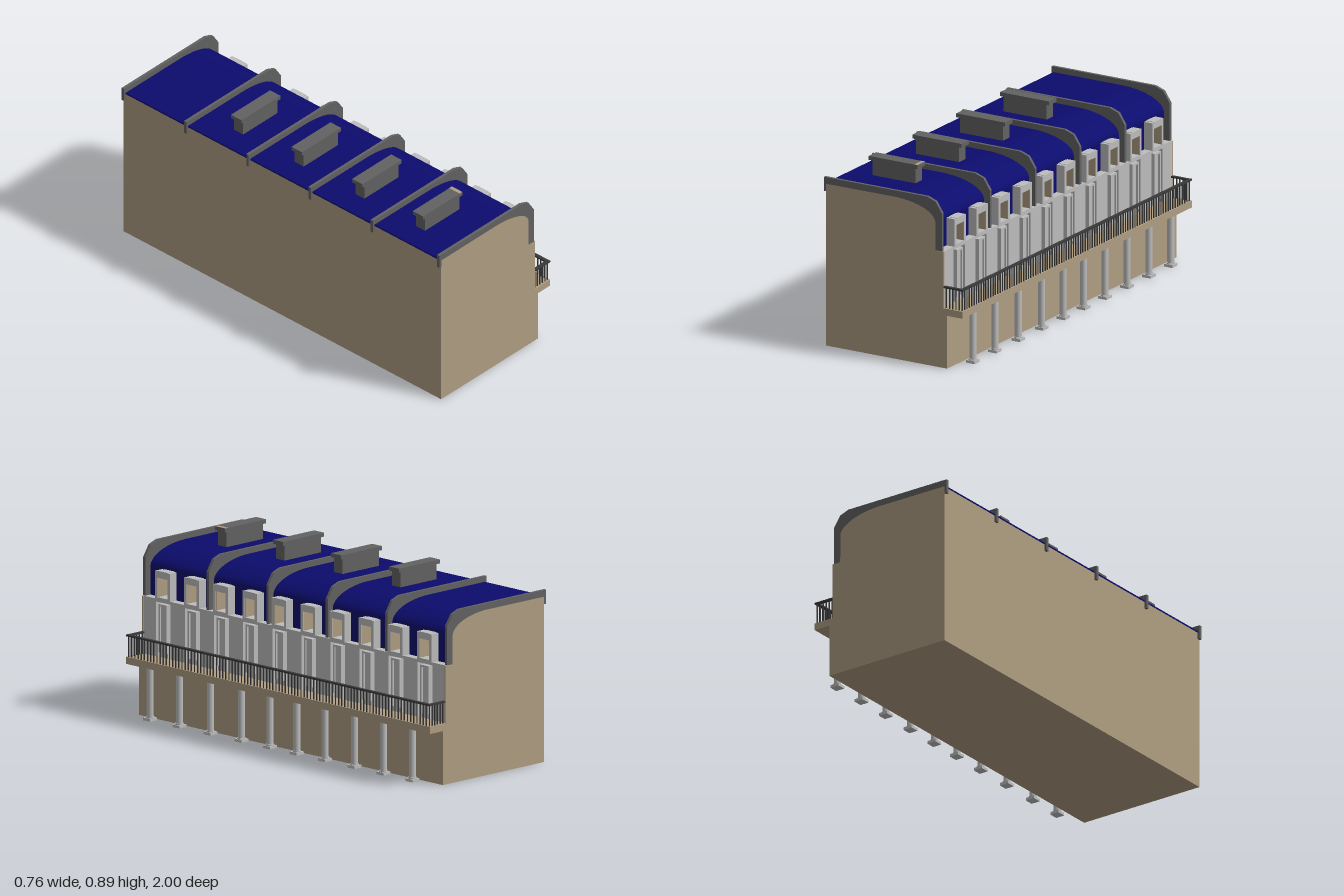
import * as THREE from 'three';

const mat = (name, color, side = THREE.FrontSide) => {
  const m = new THREE.MeshStandardMaterial({ color, side });
  m.name = name;
  return m;
};

export function createModel() {
  const root = new THREE.Group();
  root.name = 'terraceRow';
  const tan = mat('tanStone', 0xb09e82);
  const pale = mat('paleGrey', 0xbdbdbd);
  const slate = mat('darkGrey', 0x626262);
  const blue = mat('roofBlue', 0x0c0c6e);
  const iron = mat('ironGrey', 0x3a3a3a);
  const green = mat('shutterGreen', 0x5a7430);
  const black = mat('glassBlack', 0x101010);

  const group = (name, parent = root) => {
    const g = new THREE.Group();
    g.name = name;
    parent.add(g);
    return g;
  };
  // Box given by its limits on each axis
  const box = (name, m, x0, x1, y0, y1, z0, z1, parent = root) => {
    const mesh = new THREE.Mesh(new THREE.BoxGeometry(x1 - x0, y1 - y0, z1 - z0), m);
    mesh.position.set((x0 + x1) / 2, (y0 + y1) / 2, (z0 + z1) / 2);
    mesh.name = name;
    parent.add(mesh);
    return mesh;
  };
  // Cross-section in x, y stretched from z0 to z1
  const slab = (name, m, pts, z0, z1) => {
    const shape = new THREE.Shape(pts.map(([x, y]) => new THREE.Vector2(x, y)));
    const geo = new THREE.ExtrudeGeometry(shape, { depth: z1 - z0, bevelEnabled: false });
    geo.translate(0, 0, z0);
    const mesh = new THREE.Mesh(geo, m);
    mesh.name = name;
    root.add(mesh);
  };
  // Quarter-ellipse eave, from the front edge up to the flat roof
  const eave = (d = 0) => Array.from({ length: 21 }, (_, i) => {
    const a = (i / 20) * Math.PI / 2;
    return [(0.23 + d) * Math.cos(a), 0.70 + (0.09 + d) * Math.sin(a)];
  });

  const bays = Array.from({ length: 10 }, (_, i) => 0.861 - i * 0.1915);
  const HALF = 0.0485; // half width of a bay opening

  // Main body, stepped back behind the facade and the dormers
  slab('body', tan, [[-0.37, 0], [0.293, 0], [0.293, 0.257], [0.225, 0.257], [0.225, 0.56],
    [0.19, 0.56], [0.19, 0.70], ...eave(), [-0.37, 0.79]], -0.995, 0.995);
  for (const s of [-1, 1]) {
    slab('endWall', tan, [[-0.37, 0], [0.293, 0], [0.293, 0.257], [0.274, 0.257], [0.274, 0.565],
      [0.23, 0.565], ...eave(), [-0.37, 0.79]], s > 0 ? 0.993 : -1, s > 0 ? 1 : -0.993);
  }

  // Roof skin with its curved front
  slab('roof', blue, [...eave(0.003), [-0.371, 0.793], [-0.371, 0.785], ...eave(-0.005).reverse()],
    -0.992, 0.992);

  // Party walls and gable copings
  for (const z of [0.993, 0.575, 0.183, -0.208, -0.6, -0.993]) {
    slab('partyWall', slate, [[-0.382, 0.752], [-0.369, 0.752], [-0.369, 0.788], ...eave(-0.001).reverse(),
      [0.23, 0.566], [0.265, 0.566], [0.265, 0.75], [0.23, 0.803], [0.183, 0.82], [-0.382, 0.82]],
    z - 0.0075, z + 0.0075);
  }

  // Chimneys
  for (const z of [0.76, 0.378, -0.004, -0.385]) {
    const c = group('chimney');
    box('chimneyStack', slate, -0.25, -0.014, 0.78, 0.866, z - 0.028, z + 0.028, c);
    box('chimneyCap', slate, -0.267, 0.001, 0.866, 0.885, z - 0.033, z + 0.033, c);
  }
  box('capEnd', tan, -0.018, 0.001, 0.884, 0.886, 0.727, 0.793);

  // Facade piers and the roof strips between dormers
  const edges = [0.993, ...bays.flatMap((z) => [z + HALF, z - HALF]), -0.993];
  for (let i = 0; i < edges.length; i += 2) {
    box('facadePier', pale, 0.22, 0.272, 0.257, 0.552, edges[i + 1], edges[i]);
    box('roofFront', blue, 0.185, 0.233, 0.56, 0.701, edges[i + 1], edges[i]);
  }
  box('facadeBand', pale, 0.19, 0.272, 0.552, 0.566, -0.993, 0.993);

  for (const z of bays) {
    // Balcony door with green shutters set deep on either side
    const d = group('balconyDoor');
    box('shutters', green, 0.224, 0.230, 0.29, 0.552, z - HALF, z + HALF, d);
    box('door', pale, 0.225, 0.268, 0.29, 0.545, z - 0.027, z + 0.027, d);
    for (const s of [-1, 1]) {
      box('doorFrame', pale, 0.266, 0.277, 0.315, 0.545, z + s * 0.0225 - 0.0045, z + s * 0.0225 + 0.0045, d);
    }
    box('doorHead', pale, 0.266, 0.277, 0.535, 0.545, z - 0.018, z + 0.018, d);

    // Dormer surround, tan reveals and dark pane
    const w = group('dormer');
    for (const s of [-1, 1]) {
      const a = z + s * 0.033, b = z + s * HALF;
      box('dormerJamb', pale, 0.185, 0.278, 0.566, 0.70, Math.min(a, b), Math.max(a, b), w);
      box('dormerReveal', tan, 0.19, 0.275, 0.576, 0.669, z + s * 0.0325 - 0.001, z + s * 0.0325 + 0.001, w);
    }
    box('dormerHead', pale, 0.185, 0.278, 0.669, 0.702, z - 0.033, z + 0.033, w);
    box('dormerSill', pale, 0.185, 0.278, 0.566, 0.576, z - 0.033, z + 0.033, w);
    box('dormerPane', black, 0.189, 0.194, 0.576, 0.669, z - 0.0325, z + 0.0325, w);
  }

  // Balcony deck
  box('balconyDeck', tan, 0.225, 0.377, 0.257, 0.291, -1, 1);

  // Balcony railing along the front and both ends
  const rail = group('railing');
  box('topRail', iron, 0.362, 0.379, 0.389, 0.397, -1, 1, rail);
  const spots = [];
  for (let i = 0; i <= 96; i++) spots.push([0.370, -0.99 + i * 1.98 / 96]);
  for (const s of [-1, 1]) {
    box('endRail', iron, 0.274, 0.362, 0.389, 0.397, s * 0.991 - 0.008, s * 0.991 + 0.008, rail);
    for (let i = 0; i < 5; i++) spots.push([0.283 + i * 0.0175, s * 0.99]);
  }
  const barGeo = new THREE.CylinderGeometry(0.0033, 0.0033, 0.1, 6);
  for (const [x, z] of spots) {
    const bar = new THREE.Mesh(barGeo, iron);
    bar.position.set(x, 0.34, z);
    bar.name = 'baluster';
    rail.add(bar);
  }

  // Columns on square bases
  const shaftGeo = new THREE.CylinderGeometry(0.0165, 0.0165, 0.24, 20);
  const ringGeo = new THREE.CylinderGeometry(0.02, 0.02, 0.006, 20);
  for (const z of [0.868, 0.676, 0.472, 0.268, 0.08, -0.097, -0.284, -0.477, -0.668, -0.858]) {
    const c = group('column');
    for (const [name, geo, y] of [['columnShaft', shaftGeo, 0.138], ['columnRing', ringGeo, 0.022]]) {
      const m = new THREE.Mesh(geo, pale);
      m.position.set(0.351, y, z);
      m.name = name;
      c.add(m);
    }
    box('columnBase', pale, 0.328, 0.374, 0.006, 0.019, z - 0.023, z + 0.023, c);
  }
  return root;
}
